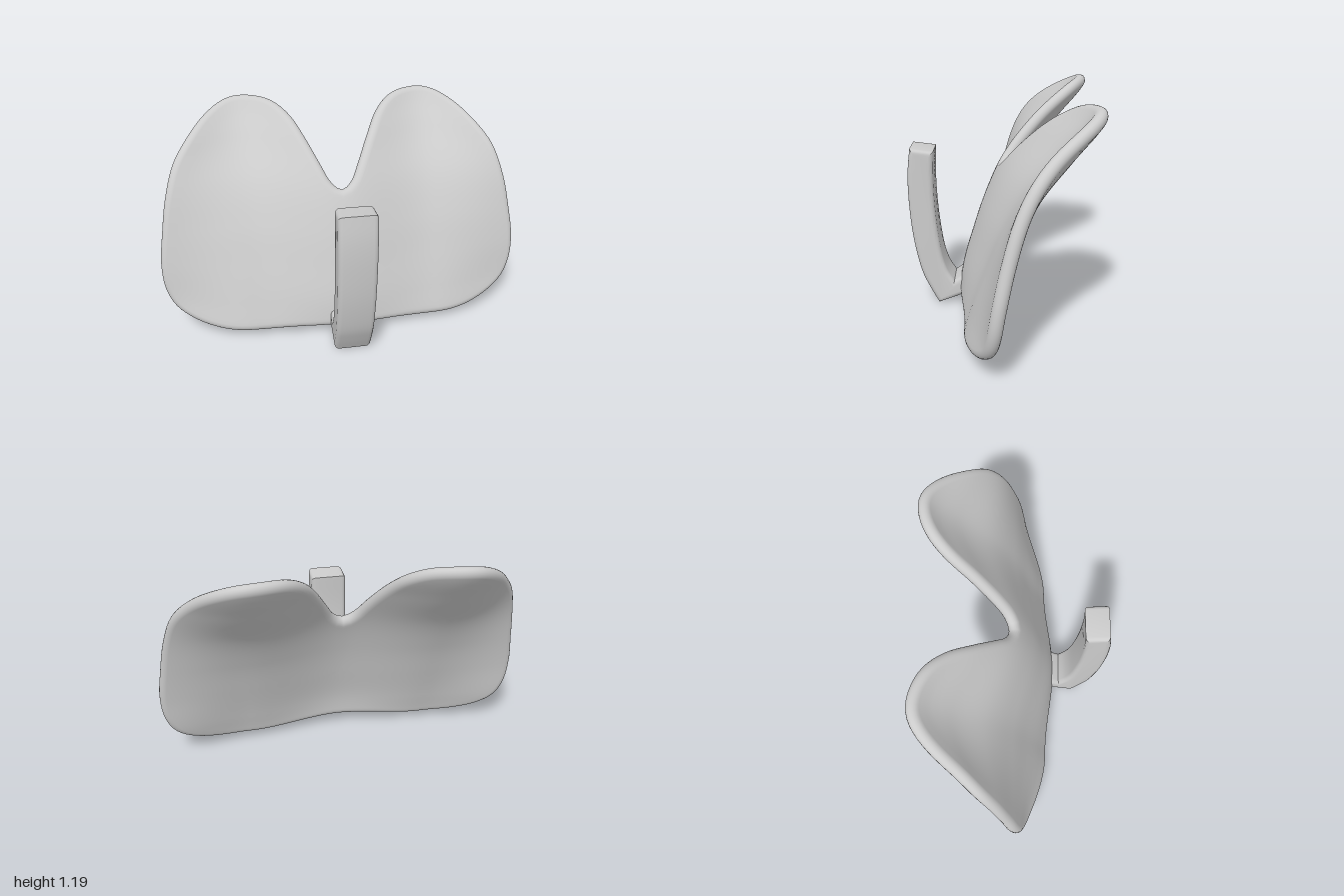
import * as THREE from 'three';
import { mergeVertices, toCreasedNormals } from 'three/addons/utils/BufferGeometryUtils.js';

const material = new THREE.MeshStandardMaterial({ color: 0xcccccc });

// Depth profiles (z at y = 0, 0.2 ... 1.2) along the spine, lobe middle and outer edge
const profile = (zs) => {
  const curve = new THREE.SplineCurve(zs.map((z, i) => new THREE.Vector2(i, z)));
  return (y) => curve.getPoint(THREE.MathUtils.clamp(y / 1.2, 0, 1)).y;
};
const spine = profile([0.205, 0.185, 0.13, 0.065, -0.02, -0.14, -0.28]);
const lobe = profile([0.165, 0.11, 0.04, -0.04, -0.15, -0.32, -0.47]);
const edge = profile([0.08, 0.03, 0, -0.04, -0.09, -0.16, -0.26]);

// Middle surface of the curved plate
function depth(x, y) {
  const ax = Math.abs(x), mid = 0.52;
  return ax < mid
    ? THREE.MathUtils.lerp(spine(y), lobe(y), THREE.MathUtils.smoothstep(ax, 0, mid))
    : THREE.MathUtils.lerp(lobe(y), edge(y), THREE.MathUtils.smoothstep(ax, mid, 1.02));
}

function surfaceNormal(x, y) {
  const e = 0.01;
  return new THREE.Vector3(
    (depth(x - e, y) - depth(x + e, y)) / (2 * e),
    (depth(x, y - e) - depth(x, y + e)) / (2 * e), 1).normalize();
}

// Two-lobed plate: nested outline rings, front and back, with a rounded rim
function plateGeometry() {
  const half = [[0.2, 0.058], [0.5, 0.045], [0.7, 0.06], [0.85, 0.11], [0.94, 0.18],
    [0.985, 0.28], [0.995, 0.42], [0.97, 0.6], [0.935, 0.78], [0.88, 0.94], [0.8, 1.045],
    [0.7, 1.13], [0.58, 1.185], [0.45, 1.195], [0.33, 1.175], [0.24, 1.115], [0.17, 1.02],
    [0.1, 0.9], [0.055, 0.825]];
  const mirrored = half.map(([x, y]) => [-x, y]).reverse();
  const points = [[0, 0.065], ...half, [0, 0.79], ...mirrored]
    .map(([x, y]) => new THREE.Vector3(x, y, 0));
  const count = 200;
  const outline = new THREE.CatmullRomCurve3(points, true).getSpacedPoints(count).slice(0, count);

  // Each ring: scale towards the centre, inset from the outline, height off the middle surface
  const rimWidth = 0.035, thickness = 0.033, inner = 22, rim = 5;
  const rings = [];
  for (let k = 0; k < inner; k++) rings.push([k / inner, rimWidth, thickness]);
  for (let k = 0; k <= 2 * rim; k++) {
    const a = Math.PI / 2 * (1 - k / rim);
    rings.push([1, rimWidth * (1 - Math.cos(a)), thickness * Math.sin(a)]);
  }
  for (let k = inner - 1; k >= 0; k--) rings.push([k / inner, rimWidth, -thickness]);

  const positions = [], indices = [], centreY = 0.42;
  rings.forEach(([scale, inset, height], r) => {
    for (let i = 0; i < count; i++) {
      const p = outline[i];
      const t = outline[(i + 1) % count].clone().sub(outline[(i + count - 1) % count]).normalize();
      const x = (p.x - t.y * inset) * scale;
      const y = centreY + (p.y + t.x * inset - centreY) * scale;
      const n = surfaceNormal(x, y);
      positions.push(x + n.x * height, y + n.y * height, depth(x, y) + n.z * height);
      if (r < rings.length - 1) {
        const j = (i + 1) % count, a = r * count, b = a + count;
        indices.push(a + i, b + i, b + j, a + i, b + j, a + j);
      }
    }
  });
  let geometry = new THREE.BufferGeometry();
  geometry.setAttribute('position', new THREE.Float32BufferAttribute(positions, 3));
  geometry.setIndex(indices);
  geometry = mergeVertices(geometry, 1e-5);
  geometry.computeVertexNormals();
  return geometry;
}

// Curved front strap with its foot, drawn as a side profile (z, y) and extruded across
function strapGeometry() {
  const v = (list) => list.map(([z, y]) => new THREE.Vector2(z, y));
  const shape = new THREE.Shape();
  shape.moveTo(0.35, 0.005);
  shape.splineThru(v([[0.4, 0.1], [0.445, 0.21], [0.483, 0.4], [0.5, 0.6], [0.5, 0.76], [0.485, 0.895]]));
  shape.lineTo(0.36, 0.88);
  shape.splineThru(v([[0.365, 0.7], [0.355, 0.5], [0.33, 0.31], [0.3, 0.205], [0.262, 0.14]]));
  shape.lineTo(0.22, 0.17);
  shape.lineTo(0.195, 0.15);
  shape.lineTo(0.19, 0.07);
  shape.lineTo(0.22, 0.055);
  const bevel = 0.025, width = 0.2;
  const geometry = new THREE.ExtrudeGeometry(shape, {
    depth: width - 2 * bevel, curveSegments: 4, bevelEnabled: true,
    bevelSize: bevel, bevelThickness: bevel, bevelOffset: -bevel, bevelSegments: 4,
  });
  geometry.translate(0, 0, -width / 2 + bevel);
  geometry.rotateY(-Math.PI / 2);
  return toCreasedNormals(geometry, 0.7);
}

export function createModel() {
  const group = new THREE.Group();
  const add = (name, geometry) => {
    const mesh = new THREE.Mesh(geometry, material);
    mesh.name = name;
    group.add(mesh);
  };
  add('curvedPlate', plateGeometry());
  add('frontStrap', strapGeometry());
  return group;
}
